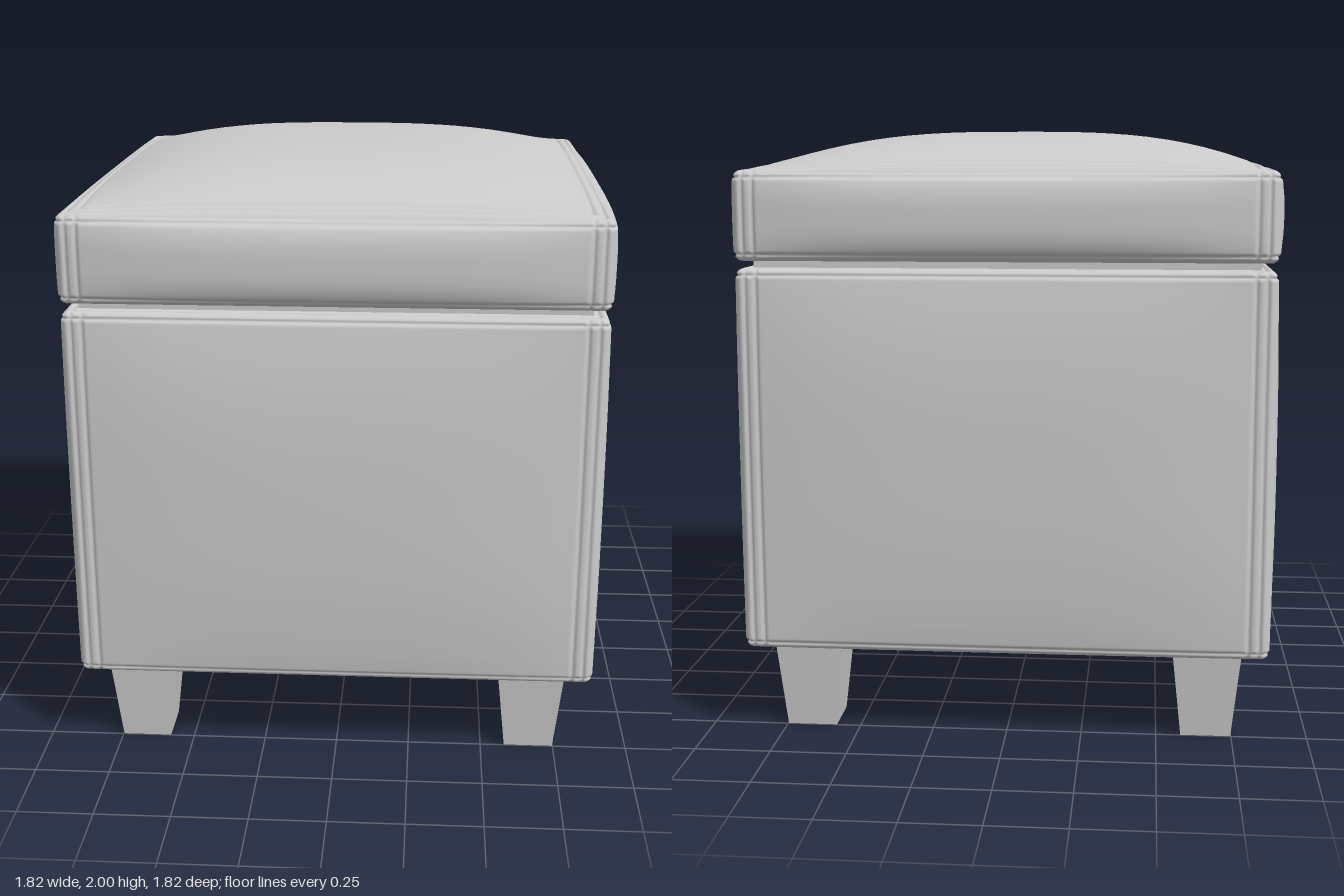
import * as THREE from 'three';
import { mergeVertices } from 'three/addons/utils/BufferGeometryUtils.js';

const material = new THREE.MeshStandardMaterial({ color: 0xcccccc });
const N = 60, EDGE = 18, STEP = 0.005; // grid, with fine rows near the edges

// Maps a grid coordinate t in [-1, 1] to [-h, h], packing rows close to the edges
function spread(t, h) {
  const i = Math.round((t + 1) / 2 * N), k = Math.min(i, N - i);
  const inset = EDGE * STEP;
  const d = k <= EDGE ? k * STEP : inset + (h - inset) * (k - EDGE) / (N / 2 - EDGE);
  return i < N / 2 ? d - h : h - d;
}

// Groove strength at distance d from an edge, for seams at the given distances
const groove = (d, seams) =>
  Math.min(1, seams.reduce((sum, s) => sum + Math.exp(-(((d - s) / 0.006) ** 2)), 0));

// Rounded upholstered block with bulging faces and stitched seams
function upholstery(name, half, y0, y1, { side, top, bottom }) {
  const h = [half, (y1 - y0) / 2, half], r = 0.03, depth = 0.008;
  const flatSeams = [0.035, 0.07], rimSeams = [0.02];
  let geo = new THREE.BoxGeometry(2, 2, 2, N, N, N);
  geo.deleteAttribute('normal');
  geo.deleteAttribute('uv');
  geo = mergeVertices(geo);
  const pos = geo.attributes.position;
  const n = new THREE.Vector3();
  for (let i = 0; i < pos.count; i++) {
    const q = [pos.getX(i), pos.getY(i), pos.getZ(i)].map((t, a) => spread(t, h[a]));
    const core = q.map((v, a) => THREE.MathUtils.clamp(v, r - h[a], h[a] - r));
    n.set(q[0] - core[0], q[1] - core[1], q[2] - core[2]).normalize();
    const dir = n.toArray();
    const d = q.map((v, a) => h[a] - Math.abs(v));
    const fall = q.map((v, a) => 1 - Math.abs(v / h[a]) ** 3);

    // seams: a square ring on top and bottom, upright pairs plus rims on the sides
    const rim = groove(d[1], rimSeams);
    const g = dir[1] ** 2 * groove(Math.min(d[0], d[2]), flatSeams)
      + dir[0] ** 2 * Math.max(groove(d[2], flatSeams), rim)
      + dir[2] ** 2 * Math.max(groove(d[0], flatSeams), rim);

    // padding: each face swells towards its middle
    const amount = [side, q[1] > 0 ? top : bottom, side];
    const p = core.map((c, a) => {
      const swell = amount[a] * fall[(a + 1) % 3] * fall[(a + 2) % 3];
      return c + dir[a] * (r - depth * g) + Math.sign(dir[a]) * dir[a] ** 2 * swell;
    });
    pos.setXYZ(i, p[0], p[1] + (y0 + y1) / 2, p[2]);
  }
  geo.computeVertexNormals();
  const mesh = new THREE.Mesh(geo, material);
  mesh.name = name;
  return mesh;
}

export function createModel() {
  const group = new THREE.Group();
  group.name = 'storageOttoman';

  group.add(upholstery('body', 0.863, 0.30, 1.558, { side: 0.04, top: 0, bottom: 0.03 }));
  group.add(upholstery('lidCushion', 0.865, 1.58, 1.868, { side: 0.043, top: 0.132, bottom: 0 }));

  // Recessed frame in the gap below the lid
  const frame = new THREE.Mesh(new THREE.BoxGeometry(1.62, 0.06, 1.62), material);
  frame.position.y = 1.57;
  frame.name = 'lidFrame';
  group.add(frame);

  // Tapered square legs
  const legMaterial = material.clone();
  legMaterial.flatShading = true;
  const legGeo = new THREE.CylinderGeometry(0.115 * Math.SQRT2, 0.083 * Math.SQRT2, 0.31, 4);
  legGeo.rotateY(Math.PI / 4);
  for (const [z, end] of [[0.665, 'front'], [-0.665, 'back']]) {
    for (const [x, side] of [[0.665, 'Left'], [-0.665, 'Right']]) {
      const leg = new THREE.Mesh(legGeo, legMaterial);
      leg.position.set(x, 0.155, z);
      leg.name = `${end}${side}Leg`;
      group.add(leg);
    }
  }
  return group;
}
